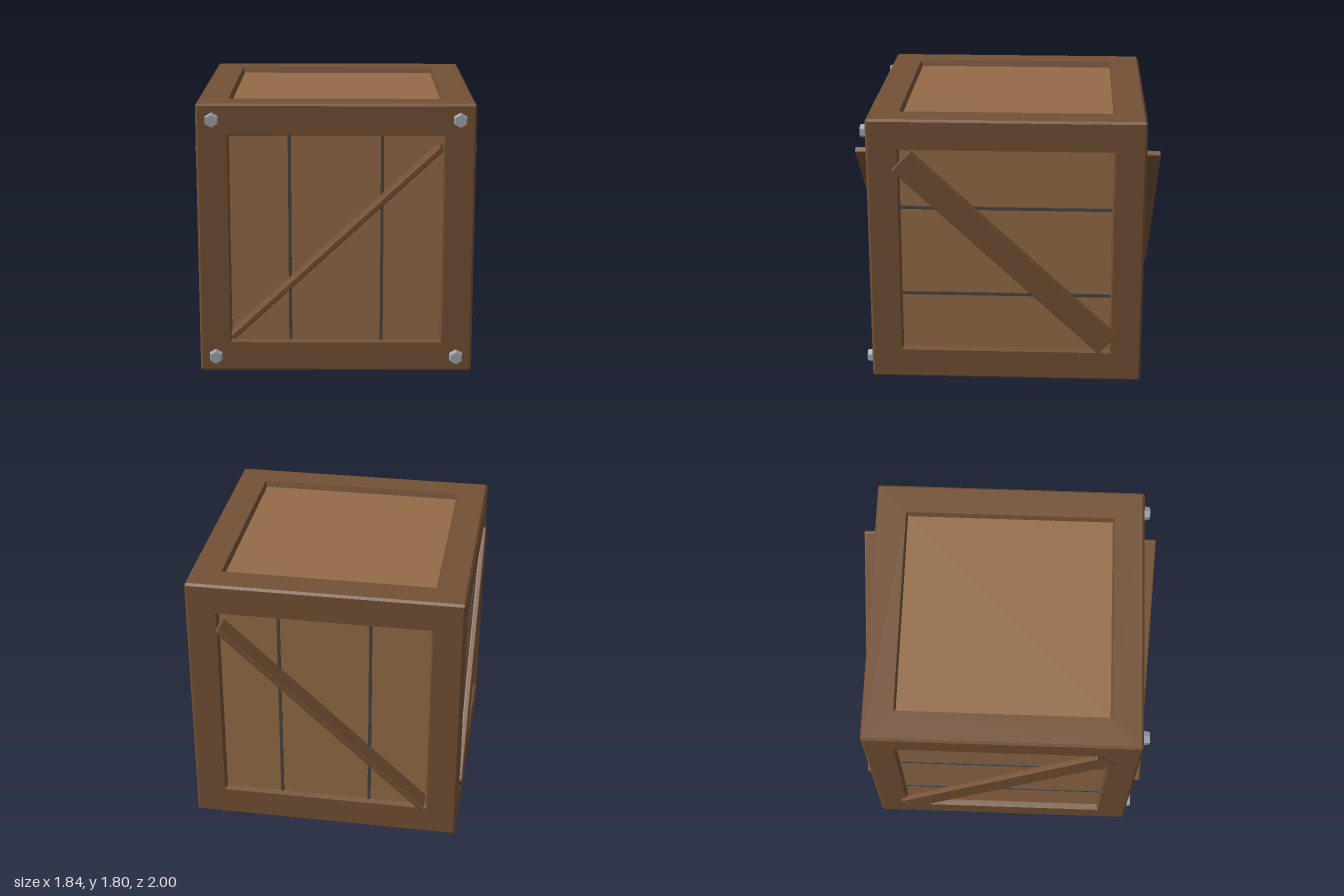
import * as THREE from 'three';
import { RoundedBoxGeometry } from 'three/addons/geometries/RoundedBoxGeometry.js';

const paint = (color) => new THREE.MeshStandardMaterial({ color, flatShading: true });

export function createModel() {
  const frameWood = paint(0x735034);
  const panelWood = paint(0x946b47);
  const gapGrey = paint(0x4a443f);
  const steel = paint(0x9ca3ab);

  const crate = new THREE.Group();
  crate.name = 'crate';

  const add = (parent, name, geometry, material, x = 0, y = 0, z = 0) => {
    const mesh = new THREE.Mesh(geometry, material);
    mesh.name = name;
    mesh.position.set(x, y, z);
    parent.add(mesh);
    return mesh;
  };

  // Square frame: chamfered outer edge, flat rim, sloped wall down to the panel.
  // Each profile point is [half width, distance from the crate centre].
  const profile = [[0.8925, 0.8925], [0.885, 0.9], [0.7, 0.9], [0.688, 0.86]];
  const frameGeometry = new THREE.LatheGeometry(
    profile.map(([half, depth]) => new THREE.Vector2(half * Math.SQRT2, depth)), 4);
  frameGeometry.rotateY(Math.PI / 4);
  const panelGeometry = new THREE.PlaneGeometry(1.376, 1.376).rotateX(-Math.PI / 2);
  const stripGeometry = new THREE.BoxGeometry(0.02, 0.02, 1.376);

  // Six faces, each modelled facing +y and turned into place
  const q = Math.PI / 2;
  const faces = [
    ['top', 0, 0, false], ['bottom', 2 * q, 0, false],
    ['front', q, 0, true], ['back', -q, 0, true],
    ['left', 0, -q, true], ['right', 0, q, true],
  ];
  for (const [name, rx, rz, hasStrips] of faces) {
    const face = new THREE.Group();
    face.name = name + 'Face';
    face.position.y = 0.9;
    face.rotation.set(rx, 0, rz);
    add(face, name + 'Frame', frameGeometry, frameWood);
    add(face, name + 'Panel', panelGeometry, panelWood, 0, 0.86, 0);
    // Dark strips between the planks
    if (hasStrips) {
      for (const x of [-0.3, 0.3]) add(face, name + 'PlankStrip', stripGeometry, gapGrey, x, 0.86, 0);
    }
    crate.add(face);
  }

  // Diagonal boards: on edge at front and back, laid flat on the sides
  const tilt = THREE.MathUtils.degToRad(43.1);
  const edgeBoard = new RoundedBoxGeometry(1.85, 0.04, 0.18, 1, 0.008);
  const flatBoard = new RoundedBoxGeometry(0.04, 0.18, 1.85, 1, 0.008);
  for (const s of [1, -1]) {
    add(crate, s > 0 ? 'frontBrace' : 'backBrace', edgeBoard, frameWood, 0, 0.9, s * 0.91).rotation.z = tilt;
    add(crate, s > 0 ? 'leftBrace' : 'rightBrace', flatBoard, frameWood, s * 0.9, 0.9, 0).rotation.x = -tilt;
  }

  // Tapered hexagonal bolts on the front corners
  const boltGeometry = new THREE.CylinderGeometry(0.041, 0.05, 0.045, 6).rotateX(q);
  for (const x of [-0.795, 0.795]) {
    for (const y of [0.105, 1.695]) add(crate, 'bolt', boltGeometry, steel, x, y, 0.92);
  }

  return crate;
}
